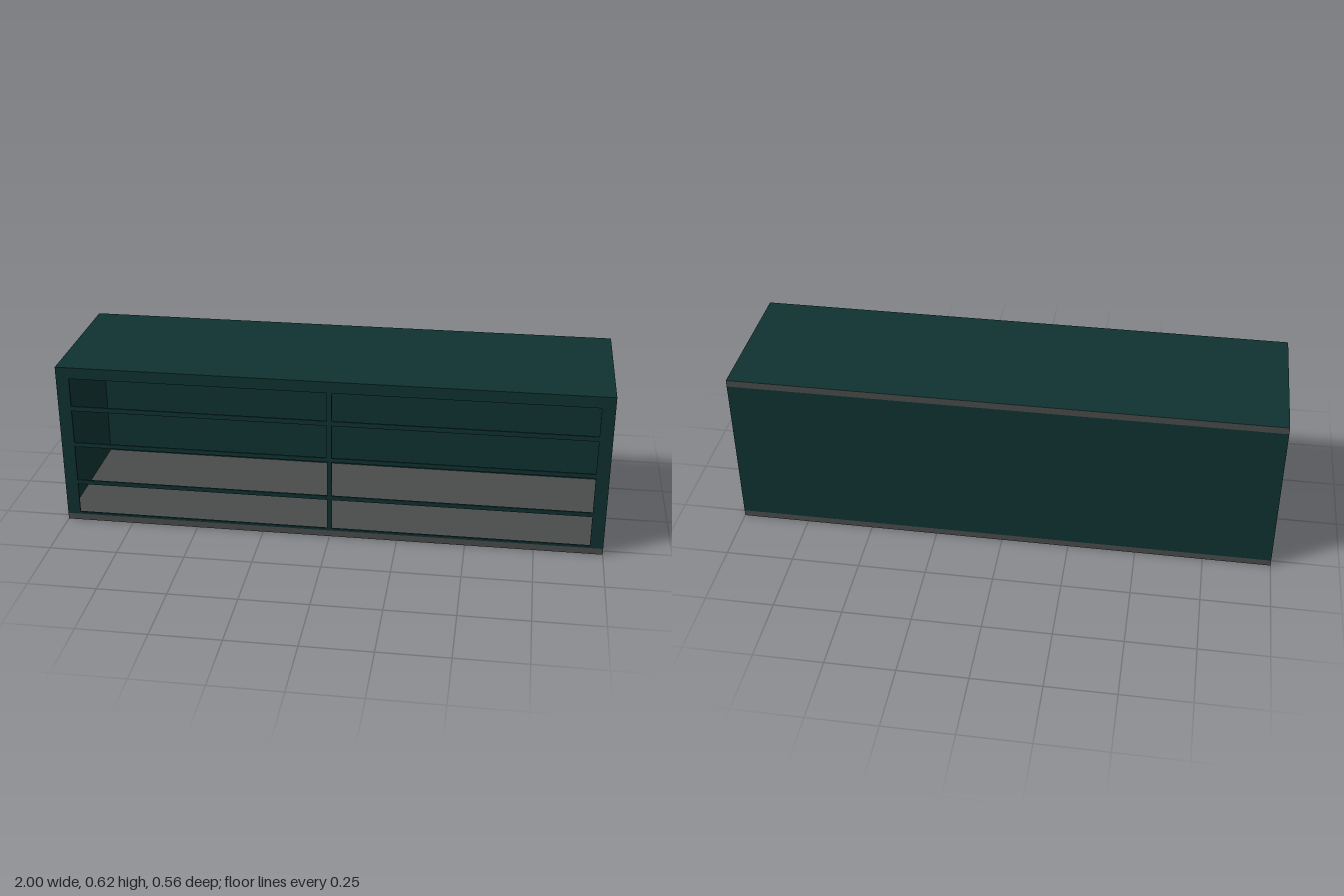
import * as THREE from 'three';

export function createModel() {
  const W = 2, H = 0.623, D = 0.555;
  const BASE = 0.024, ROOF = 0.597, WALL = 0.006;

  const green = new THREE.MeshStandardMaterial({ color: 0x0f3231 });
  green.name = 'dark green paint';
  const grey = new THREE.MeshStandardMaterial({ color: 0x4a4c4b });
  grey.name = 'grey metal';

  const model = new THREE.Group();
  model.name = 'openFrontCabinet';

  // box given by its lower and upper corners
  function box(name, material, [x0, y0, z0], [x1, y1, z1]) {
    const geometry = new THREE.BoxGeometry(x1 - x0, y1 - y0, z1 - z0);
    const mesh = new THREE.Mesh(geometry, material);
    mesh.position.set((x0 + x1) / 2, (y0 + y1) / 2, (z0 + z1) / 2);
    mesh.name = name;
    model.add(mesh);
    return mesh;
  }

  const x = W / 2, z = D / 2, front = z - WALL;

  // floor slab, and roof slab with a painted top face (+y is the third face group)
  box('floor', grey, [-x, 0, -z], [x, BASE, z]);
  box('roof', [grey, grey, green, grey, grey, grey], [-x, ROOF, -z], [x, H, front]);

  // side and back walls
  for (const [name, s] of [['leftWall', 1], ['rightWall', -1]]) {
    const inner = s * (x - WALL), outer = s * x;
    box(name, green, [Math.min(inner, outer), BASE, -z], [Math.max(inner, outer), ROOF, front]);
  }
  box('backWall', green, [-x + WALL, BASE, -z], [x - WALL, ROOF, -z + WALL]);

  // front frame: one panel cut by two columns and four rows of openings
  const panel = new THREE.Shape([
    new THREE.Vector2(-x, BASE), new THREE.Vector2(x, BASE),
    new THREE.Vector2(x, H), new THREE.Vector2(-x, H),
  ]);
  const columns = [[-0.952, -0.009], [0.009, 0.952]];
  const rows = [[0.033, 0.152], [0.168, 0.307], [0.323, 0.452], [0.47, 0.58]];
  for (const [x0, x1] of columns) {
    for (const [y0, y1] of rows) {
      panel.holes.push(new THREE.Path([
        new THREE.Vector2(x0, y0), new THREE.Vector2(x0, y1),
        new THREE.Vector2(x1, y1), new THREE.Vector2(x1, y0),
      ]));
    }
  }
  const frame = new THREE.Mesh(
    new THREE.ExtrudeGeometry(panel, { depth: WALL, bevelEnabled: false }), green);
  frame.position.z = front;
  frame.name = 'frontFrame';
  model.add(frame);

  // grey end caps continue the roof edge to the front of the frame
  for (const s of [-1, 1]) {
    const cap = new THREE.Mesh(new THREE.PlaneGeometry(WALL, H - ROOF), grey);
    cap.rotation.y = s * Math.PI / 2;
    cap.position.set(s * (x + 0.0005), (H + ROOF) / 2, z - WALL / 2);
    cap.name = s > 0 ? 'leftRoofEdge' : 'rightRoofEdge';
    model.add(cap);
  }

  return model;
}
